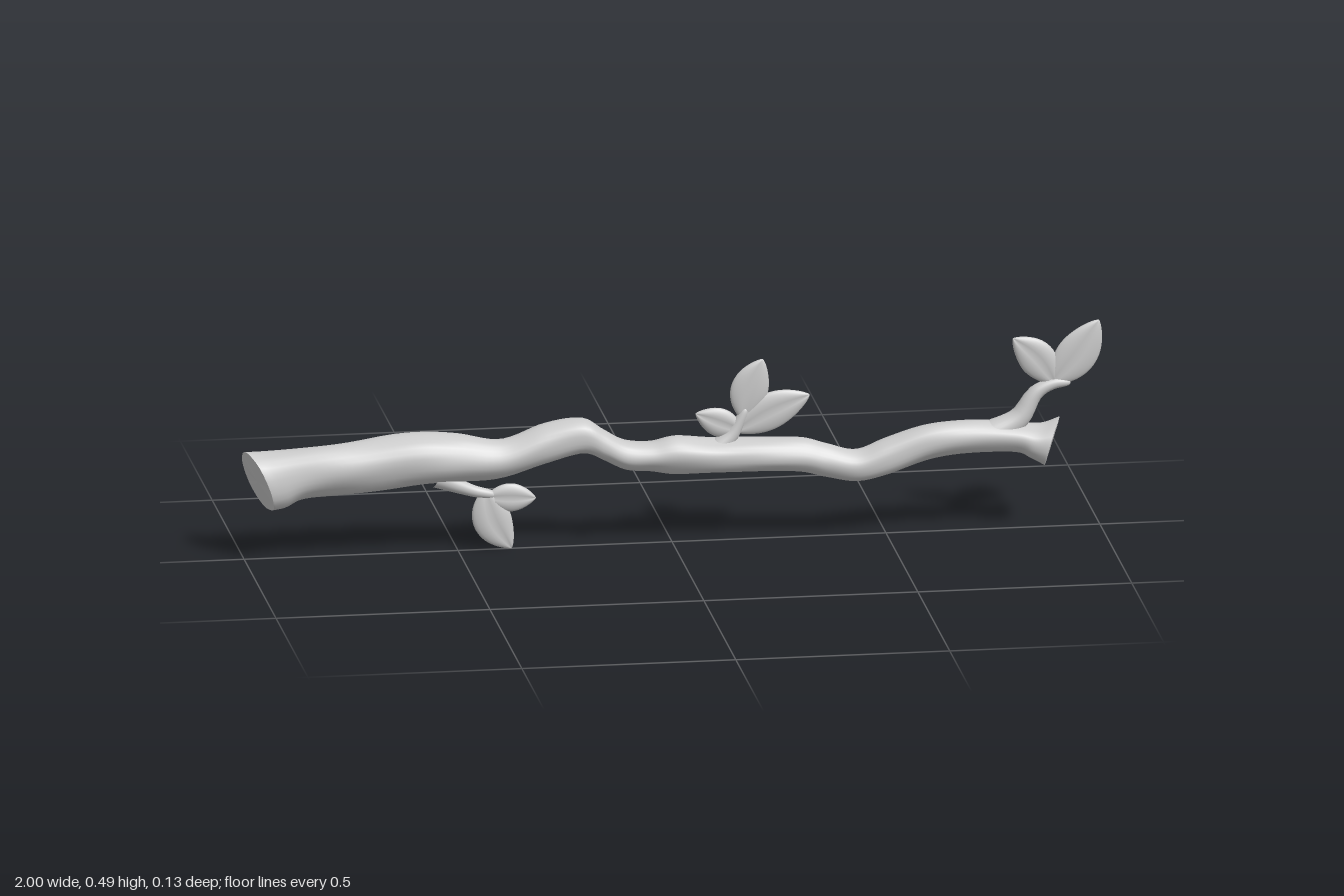
import * as THREE from 'three';

const SIDES = 28;
const material = new THREE.MeshStandardMaterial({ color: 0xcccccc, roughness: 0.8 });

// Smooth skin over a list of closed rings of points
function loft(name, rings) {
  const positions = rings.flat().flatMap(p => [p.x, p.y, p.z]);
  const index = [];
  for (let i = 0; i < rings.length - 1; i++) {
    for (let j = 0; j < SIDES; j++) {
      const k = (j + 1) % SIDES;
      const a = i * SIDES + j, b = a + SIDES, c = i * SIDES + k, d = c + SIDES;
      index.push(a, b, c, b, d, c);
    }
  }
  const geometry = new THREE.BufferGeometry();
  geometry.setAttribute('position', new THREE.Float32BufferAttribute(positions, 3));
  geometry.setIndex(index);
  geometry.computeVertexNormals();
  const mesh = new THREE.Mesh(geometry, material);
  mesh.name = name;
  return mesh;
}

const makeRing = fn => Array.from({ length: SIDES }, (_, j) => fn((j / SIDES) * Math.PI * 2));

// Sweep along a curve in the xy plane; size(t) gives [half width, half depth]
function sweep(name, points, size, groove = 0, steps = 24) {
  const curve = new THREE.CatmullRomCurve3(points.map(([x, y]) => new THREE.Vector3(x, y, 0)));
  const rings = [];
  for (let i = 0; i <= steps; i++) {
    const t = (1 - Math.cos((i / steps) * Math.PI)) / 2;
    const p = curve.getPoint(t), d = curve.getTangent(t);
    const [w, h] = size(t);
    rings.push(makeRing(a => {
      const s = Math.sin(a) * w;
      const z = Math.cos(a) * h * (1 - groove * Math.exp(-((Math.sin(a) / 0.25) ** 2)));
      return new THREE.Vector3(p.x - d.y * s, p.y + d.x * s, z);
    }));
  }
  return loft(name, rings);
}

// Pointed oval leaf with a shallow midrib groove
function leaf([bx, by], [tx, ty], width, bend = 0) {
  const mid = [(bx + tx) / 2 - (ty - by) * bend, (by + ty) / 2 + (tx - bx) * bend];
  return sweep('leaf', [[bx, by], mid, [tx, ty]], t => [
    width * Math.pow(Math.sin(Math.PI * Math.pow(t, 0.95)), 0.75),
    0.0125 * Math.pow(Math.sin(Math.PI * t), 0.4),
  ], 0.3);
}

// Tapered stalk with a rounded tip
function twig(points, r0, r1) {
  return sweep('twig', points, t => {
    const r = (r1 + (r0 - r1) * (1 - t) ** 2) * Math.sqrt(Math.max(0, 1 - t ** 12));
    return [r, r];
  });
}

// Main branch sections: x, top, bottom, half depth, end tilt by height, end tilt by depth
const SECTIONS = [
  [-0.968, 0.258, 0.117, 0.061, -0.026, 0.018],
  [-0.935, 0.258, 0.124, 0.059, -0.024, 0.016],
  [-0.87, 0.262, 0.147, 0.058, -0.01, 0.008],
  [-0.75, 0.275, 0.153, 0.06, 0, 0],
  [-0.6, 0.289, 0.164, 0.06, 0, 0],
  [-0.5, 0.281, 0.17, 0.054, 0, 0],
  [-0.4, 0.265, 0.174, 0.048, 0, 0],
  [-0.3, 0.297, 0.205, 0.046, 0, 0],
  [-0.21, 0.308, 0.225, 0.044, 0, 0],
  [-0.16, 0.28, 0.207, 0.043, 0, 0],
  [-0.11, 0.252, 0.184, 0.044, 0, 0],
  [-0.05, 0.246, 0.178, 0.045, 0, 0],
  [0.01, 0.258, 0.167, 0.047, 0, 0],
  [0.1, 0.247, 0.166, 0.046, 0, 0],
  [0.2, 0.244, 0.164, 0.045, 0, 0],
  [0.3, 0.24, 0.16, 0.042, 0, 0],
  [0.36, 0.223, 0.145, 0.041, 0, 0],
  [0.43, 0.206, 0.132, 0.042, 0, 0],
  [0.5, 0.23, 0.145, 0.043, 0, 0],
  [0.6, 0.26, 0.178, 0.042, 0, 0],
  [0.7, 0.266, 0.19, 0.04, 0, 0],
  [0.8, 0.256, 0.186, 0.042, 0, 0],
  [0.85, 0.25, 0.168, 0.048, 0.01, -0.01],
  [0.888, 0.262, 0.15, 0.054, 0.017, -0.014],
];

function mainBranch() {
  const group = new THREE.Group();
  group.name = 'mainBranch';
  const columns = from => new THREE.CatmullRomCurve3(
    SECTIONS.map(s => new THREE.Vector3(...s.slice(from, from + 3))), false, 'catmullrom');
  const outline = columns(0), depth = columns(3);
  const rings = [], steps = 140;
  for (let i = 0; i <= steps; i++) {
    const { x, y: top, z: bottom } = outline.getPoint(i / steps);
    const { x: rz, y: tiltY, z: tiltZ } = depth.getPoint(i / steps);
    rings.push(makeRing(a => {
      // Gentle bark undulation
      const bump = 1 + 0.025 * Math.sin(3 * a + 9 * x) + 0.02 * Math.sin(5 * a - 17 * x + 1)
        + 0.015 * Math.sin(2 * a + 31 * x);
      const s = Math.sin(a), c = Math.cos(a);
      return new THREE.Vector3(
        x + tiltY * s + tiltZ * c,
        (top + bottom) / 2 + ((top - bottom) / 2) * s * bump,
        rz * c * bump);
    }));
  }
  // Flat cut ends
  const centre = ring => {
    const m = ring.reduce((sum, p) => sum.add(p), new THREE.Vector3()).divideScalar(SIDES);
    return makeRing(() => m);
  };
  const first = rings[0], last = rings[steps];
  group.add(loft('bark', rings), loft('cutEnd', [centre(first), first]),
    loft('cutEnd', [last, centre(last)]));
  return group;
}

function sprig(name, ...parts) {
  const group = new THREE.Group();
  group.name = name;
  return group.add(...parts);
}

export function createModel() {
  const model = new THREE.Group();
  model.name = 'branch';
  model.add(
    mainBranch(),
    sprig('endSprig',
      twig([[0.74, 0.225], [0.81, 0.265], [0.85, 0.325], [0.89, 0.345], [0.932, 0.347]], 0.036, 0.012),
      leaf([0.885, 0.345], [0.998, 0.494], 0.048, -0.04),
      leaf([0.895, 0.345], [0.797, 0.458], 0.042, -0.06)),
    sprig('middleSprig',
      twig([[0.11, 0.225], [0.14, 0.255], [0.16, 0.29], [0.175, 0.32]], 0.024, 0.011),
      leaf([0.163, 0.29], [0.212, 0.433], 0.044, 0.04),
      leaf([0.145, 0.262], [0.322, 0.343], 0.044, 0.03),
      leaf([0.165, 0.262], [0.055, 0.308], 0.034, 0)),
    sprig('lowerSprig',
      twig([[-0.55, 0.18], [-0.5, 0.158], [-0.46, 0.143], [-0.41, 0.132]], 0.024, 0.012),
      leaf([-0.44, 0.148], [-0.375, 0.003], 0.045, -0.08),
      leaf([-0.435, 0.128], [-0.318, 0.122], 0.034, 0)),
  );
  return model;
}
